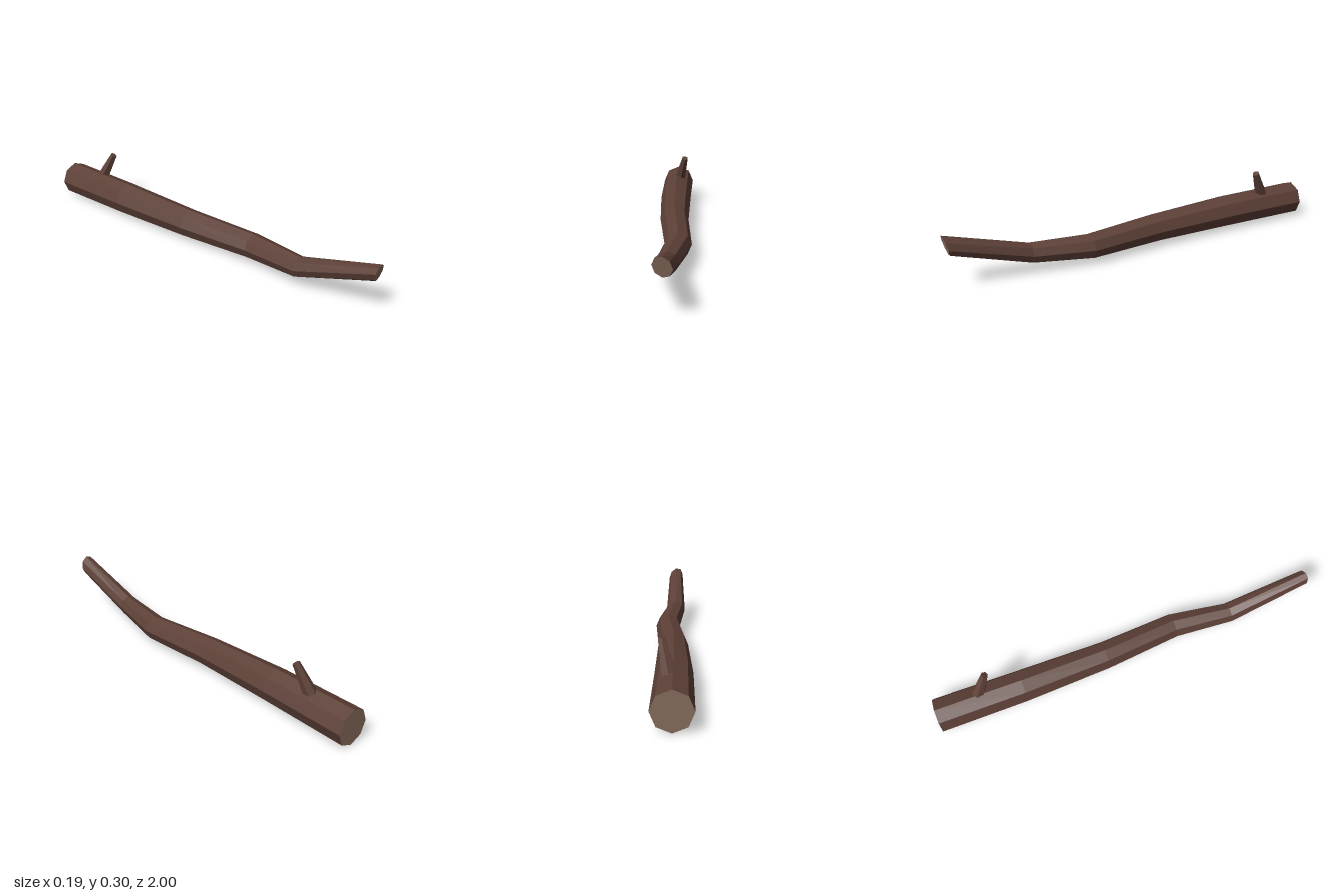
import * as THREE from 'three';

const SIDES = 8;

// Cross-sections from the cut end to the thin end: centre, radii,
// skew (y per side) and tilt of the cut (z per height and per side)
const SECTIONS = [
  { x: -0.009, y: 0.093, z: -1, rx: 0.09, ry: 0.09 },
  { x: -0.011, y: 0.096, z: -0.55, rx: 0.086, ry: 0.087 },
  { x: -0.002, y: 0.093, z: -0.1, rx: 0.074, ry: 0.075 },
  { x: 0.031, y: 0.087, z: 0.29, rx: 0.065, ry: 0.065 },
  { x: -0.008, y: 0.103, z: 0.59, rx: 0.053, ry: 0.053 },
  { x: -0.006, y: 0.231, z: 0.99, rx: 0.041, ry: 0.046, skew: -0.011, tiltY: 0.01, tiltX: -0.004 },
];

function ringPoint(s, j) {
  const a = (j / SIDES) * Math.PI * 2;
  const c = Math.cos(a), n = Math.sin(a);
  return [
    s.x + s.rx * c,
    s.y + s.ry * n + (s.skew || 0) * c,
    s.z + (s.tiltY || 0) * n + (s.tiltX || 0) * c,
  ];
}

function geometryFrom(points) {
  const g = new THREE.BufferGeometry();
  g.setAttribute('position', new THREE.Float32BufferAttribute(points.flat(), 3));
  g.computeVertexNormals();
  return g;
}

// Faceted skin between neighbouring sections
function barkGeometry() {
  const p = [];
  for (let i = 0; i < SECTIONS.length - 1; i++) {
    for (let j = 0; j < SIDES; j++) {
      const a = ringPoint(SECTIONS[i], j), b = ringPoint(SECTIONS[i], j + 1);
      const c = ringPoint(SECTIONS[i + 1], j + 1), d = ringPoint(SECTIONS[i + 1], j);
      p.push(a, b, c, a, c, d);
    }
  }
  return geometryFrom(p);
}

// Flat cut face closing one end
function cutGeometry(s, facesFront) {
  const p = [];
  for (let j = 0; j < SIDES; j++) {
    const a = ringPoint(s, j), b = ringPoint(s, j + 1);
    p.push([s.x, s.y, s.z], ...(facesFront ? [a, b] : [b, a]));
  }
  return geometryFrom(p);
}

export function createModel() {
  const bark = new THREE.MeshStandardMaterial({ color: 0x5d4037 });
  bark.name = 'bark';
  bark.flatShading = true;
  const cutWood = new THREE.MeshStandardMaterial({ color: 0x866d5d });
  cutWood.name = 'cutWood';

  const group = new THREE.Group();
  group.name = 'branch';
  const add = (name, geometry, material) => {
    const mesh = new THREE.Mesh(geometry, material);
    mesh.name = name;
    group.add(mesh);
    return mesh;
  };

  add('trunk', barkGeometry(), bark);
  add('backCut', cutGeometry(SECTIONS[0], false), cutWood);
  add('frontCut', cutGeometry(SECTIONS[SECTIONS.length - 1], true), cutWood);

  // Short tapered twig leaning forward, rooted inside the trunk
  const root = new THREE.Vector3(0.004, 0.15, -0.778);
  const tip = new THREE.Vector3(0.038, 0.3, -0.705);
  const axis = tip.clone().sub(root);
  const twig = add('twig', new THREE.CylinderGeometry(0.018, 0.035, axis.length(), 6), bark);
  twig.position.copy(root).add(tip).multiplyScalar(0.5);
  twig.quaternion.setFromUnitVectors(new THREE.Vector3(0, 1, 0), axis.normalize());

  return group;
}
